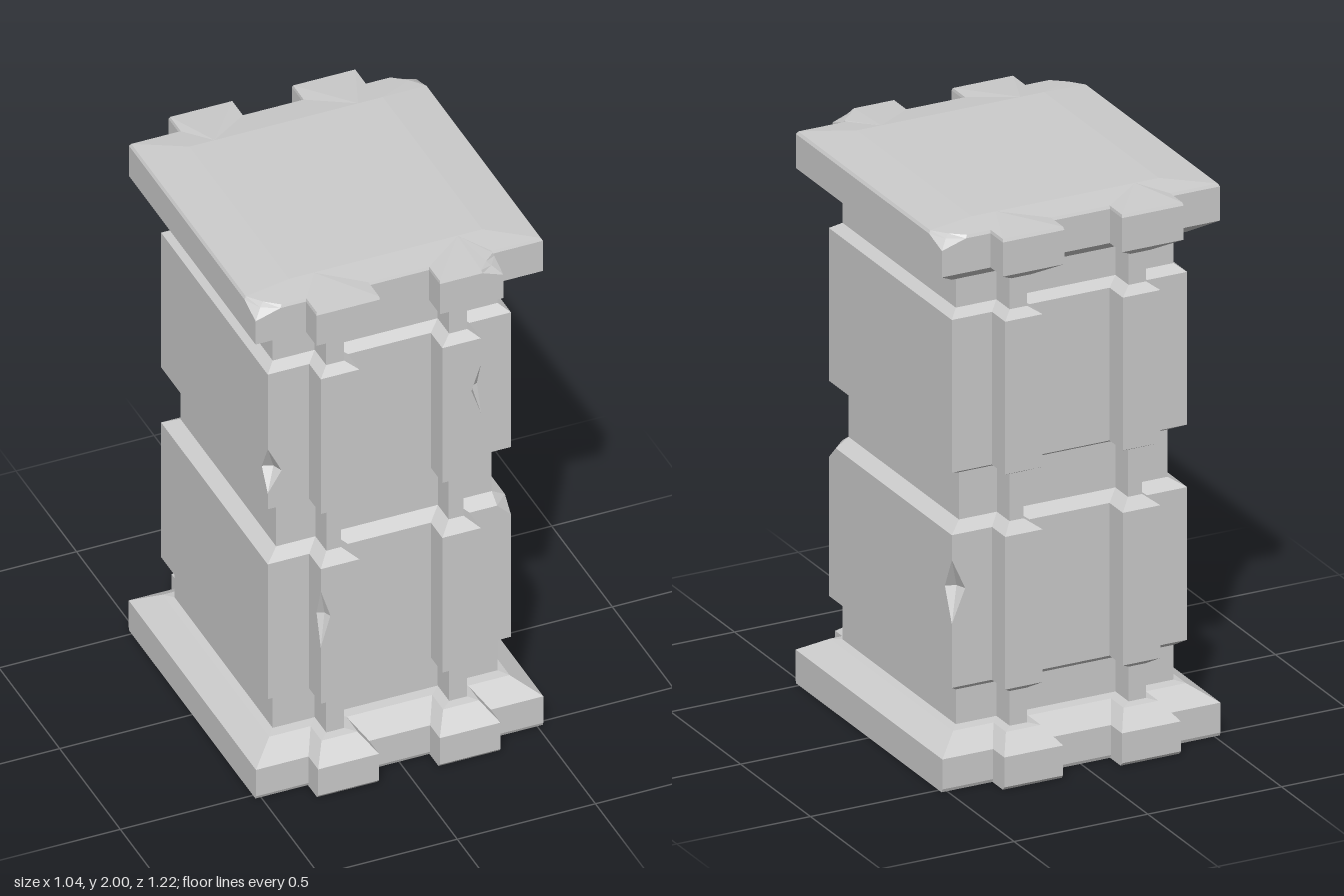
import * as THREE from 'three';

const material = new THREE.MeshStandardMaterial({ color: 0xcccccc, flatShading: true });

// Cross-sections: X half width, D half depth, R rib depth, rib spans x from a to b,
// e and er are the distances of the chip points from the body and rib corners.
const sec = (X, D, R, a, b, e = 0.05, er = 0.035) => ({ X, D, R, a, b, e, er });
const FOOT = sec(0.52, 0.525, 0.605, 0.11, 0.33);
const FOOT_EDGE = sec(0.52, 0.52, 0.595, 0.11, 0.33);
const FOOT_TOP = sec(0.435, 0.44, 0.53, 0.155, 0.285);
const NECK = sec(0.407, 0.405, 0.5, 0.19, 0.255);
const WAIST = sec(0.39, 0.395, 0.485, 0.195, 0.248);
const BLOCK = sec(0.44, 0.44, 0.535, 0.15, 0.29);
const CAP_LOW = sec(0.44, 0.44, 0.52, 0.185, 0.26);
const CAP = sec(0.52, 0.522, 0.61, 0.108, 0.338, 0.09, 0.075);
const CAP_EDGE = sec(0.514, 0.517, 0.605, 0.11, 0.335, 0.09, 0.075);
const CENTRE = sec(0.35, 0.41, 0.41, 0.26, 0.26);

const CORNER = 1, RIB = 5, Q = 9;

// One quarter of the outline, from the side towards the middle of the front
function quarter({ X, D, R, a, b, e, er }) {
  const r = Math.min(er, (R - D) * 0.9);
  const w = Math.min(r, (b - a) * 0.45);
  return [[X, D - e], [X, D], [X - e, D], [b, D], [b, R - r], [b, R], [b - w, R], [a, R], [a, D]];
}

// Full outline at height y: the quarter mirrored four times
function ring(y, section) {
  const q = quarter(section), back = [...q].reverse();
  const put = (list, sx, sz) => list.map(([x, z]) => new THREE.Vector3(x * sx, y, z * sz));
  return [...put(q, 1, 1), ...put(back, -1, 1), ...put(q, -1, -1), ...put(back, 1, -1)];
}

// Index of outline point j in the quarter with signs sx, sz
function pointIndex(sx, sz, j) {
  if (sz > 0) return sx > 0 ? j : 2 * Q - 1 - j;
  return sx < 0 ? 2 * Q + j : 4 * Q - 1 - j;
}

// Loft through [y, section] levels; each chip pushes one corner of a level inwards
function loft(name, levels, { chips = [], floor = false, roof = false } = {}) {
  const rings = levels.map(([y, s]) => ring(y, s));
  const dented = new Set();
  for (const { level, sx, sz, j, depth } of chips) {
    const i = pointIndex(sx, sz, j);
    rings[level][i].x -= sx * depth[0];
    rings[level][i].z -= sz * depth[1];
    dented.add(rings[level][i]);
  }
  const pos = [];
  const tri = (a, b, c) => {
    const area = b.clone().sub(a).cross(c.clone().sub(a)).length();
    if (area > 1e-8) for (const p of [a, b, c]) pos.push(p.x, p.y, p.z);
  };
  const n = 4 * Q;
  for (let k = 0; k + 1 < rings.length; k++) {
    for (let i = 0; i < n; i++) {
      const a = rings[k][i], c = rings[k][(i + 1) % n];
      const b = rings[k + 1][i], d = rings[k + 1][(i + 1) % n];
      // the diagonal avoids dented corners, so a chip keeps its diamond shape
      if (dented.has(b) || dented.has(c)) { tri(a, b, d); tri(a, d, c); }
      else { tri(a, b, c); tri(c, b, d); }
    }
  }
  const fan = (r, up) => {
    const mid = new THREE.Vector3(0, r[0].y, 0);
    r.forEach((p, i) => (up ? tri(mid, r[(i + 1) % n], p) : tri(mid, p, r[(i + 1) % n])));
  };
  if (floor) fan(rings[0], false);
  if (roof) fan(rings[rings.length - 1], true);
  const geometry = new THREE.BufferGeometry();
  geometry.setAttribute('position', new THREE.Float32BufferAttribute(pos, 3));
  geometry.computeVertexNormals();
  const mesh = new THREE.Mesh(geometry, material);
  mesh.name = name;
  return mesh;
}

export function createModel() {
  const group = new THREE.Group();
  group.name = 'pillar';

  // Stepped foot with sloped top
  group.add(loft('base', [
    [0, CENTRE], [0, FOOT_EDGE], [0.012, FOOT], [0.12, FOOT], [0.175, FOOT_TOP], [0.18, NECK],
  ], { floor: true }));

  group.add(loft('lowerNeck', [[0.18, NECK], [0.305, NECK]]));

  // Bevelled lower block with worn corners
  group.add(loft('lowerBlock', [
    [0.305, NECK], [0.33, BLOCK], [0.56, BLOCK], [0.68, BLOCK], [0.79, BLOCK],
    [0.83, BLOCK], [0.88, BLOCK], [0.91, WAIST],
  ], {
    chips: [
      { level: 3, sx: -1, sz: 1, j: RIB, depth: [0.024, 0.024] },
      { level: 3, sx: 1, sz: -1, j: CORNER, depth: [0.036, 0.036] },
      { level: 6, sx: 1, sz: 1, j: CORNER, depth: [0.025, 0.025] },
    ],
  }));

  group.add(loft('waist', [[0.91, WAIST], [1.08, WAIST]]));

  // Bevelled upper block with worn corners
  group.add(loft('upperBlock', [
    [1.08, WAIST], [1.105, BLOCK], [1.17, BLOCK], [1.25, BLOCK], [1.35, BLOCK],
    [1.45, BLOCK], [1.55, BLOCK], [1.655, BLOCK], [1.68, NECK],
  ], {
    chips: [
      { level: 3, sx: -1, sz: 1, j: CORNER, depth: [0.036, 0.036] },
      { level: 5, sx: 1, sz: 1, j: RIB, depth: [0.024, 0.024] },
    ],
  }));

  group.add(loft('upperNeck', [[1.68, NECK], [1.8, NECK]]));

  // Overhanging cap, slightly domed, with broken corners
  const broken = [[1, -1, CORNER], [-1, 1, CORNER], [1, 1, RIB]];
  group.add(loft('cap', [
    [1.8, NECK], [1.8, CAP_LOW], [1.855, CAP], [1.95, CAP], [1.978, CAP], [1.988, CAP_EDGE], [2, CENTRE],
  ], {
    roof: true,
    chips: broken.flatMap(([sx, sz, j]) => [
      { level: 4, sx, sz, j, depth: [0.03, 0.03] },
      { level: 5, sx, sz, j, depth: [0.04, 0.04] },
    ]),
  }));

  return group;
}
